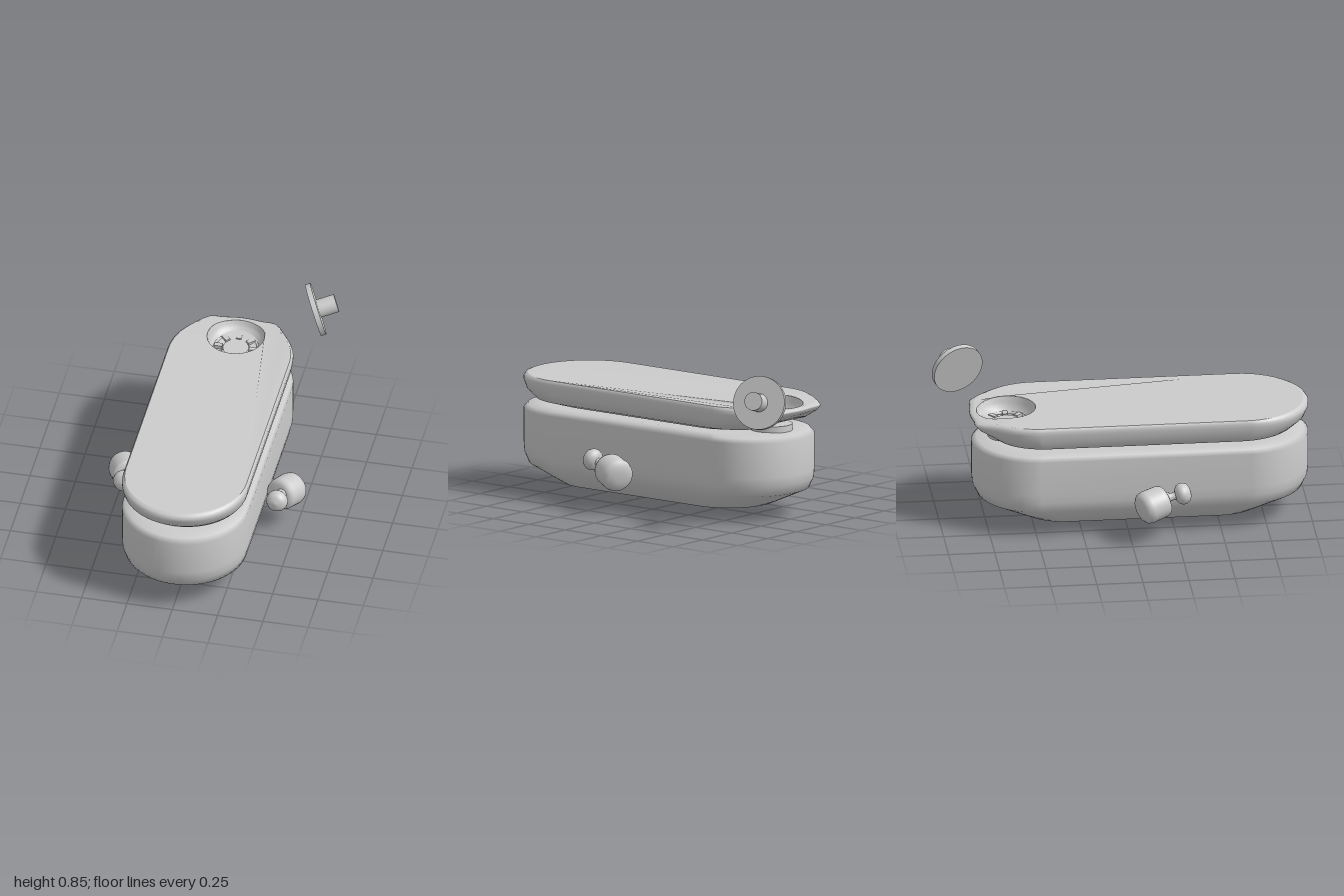
import * as THREE from 'three';

const material = new THREE.MeshStandardMaterial({ color: 0xcccccc, side: THREE.DoubleSide });
const R = 0.342, HALF = 0.57, CZ = 0.09, ARC = 28;
const HOLE_Z = -0.63, HOLE_R = 0.155;

// Stadium outline as [x, z] pairs, scaled about its centre
function outline(s) {
  const pts = [];
  for (const end of [1, -1]) {
    for (let i = 0; i <= ARC; i++) {
      const a = (i / ARC) * Math.PI + (end < 0 ? Math.PI : 0);
      pts.push([s * R * Math.cos(a), CZ + s * (end * HALF + R * Math.sin(a))]);
    }
  }
  return pts;
}

// Skin through stacked outlines, each ring given as [scale, y]
function loft(rings) {
  const pos = [], idx = [], n = 2 * (ARC + 1);
  rings.forEach(([s, y]) => outline(s).forEach(([x, z]) => pos.push(x, y, z)));
  for (let i = 0; i < rings.length - 1; i++) {
    for (let j = 0; j < n; j++) {
      const k = (j + 1) % n;
      const a = i * n + j, b = i * n + k, c = a + n, d = b + n;
      idx.push(a, c, b, b, c, d);
    }
  }
  const g = new THREE.BufferGeometry();
  g.setAttribute('position', new THREE.Float32BufferAttribute(pos, 3));
  g.setIndex(idx);
  g.computeVertexNormals();
  return g;
}

// Reshape the rear of the lid: squared corners, raised underside, dipped rim
function shapeRear(g) {
  const p = g.attributes.position, ss = THREE.MathUtils.smoothstep;
  for (let i = 0; i < p.count; i++) {
    const x = Math.abs(p.getX(i)), y = p.getY(i), z = p.getZ(i);
    const t = ss(-z, 0.62, 0.79);
    const middle = 1 - ss(x, 0.17, 0.28);
    const low = (0.643 - y) / 0.148;
    const corner = Math.exp(-(((x - 0.19) / 0.06) ** 2));
    p.setY(i, y + t * middle * (0.06 * low - 0.018 * (1 - low)));
    p.setZ(i, z - t * (0.035 * corner + 0.01 * middle));
  }
  g.computeVertexNormals();
  return g;
}

function add(parent, name, geometry, position, axis) {
  const m = new THREE.Mesh(geometry, material);
  m.name = name;
  if (position) m.position.set(...position);
  if (axis) {
    m.quaternion.setFromUnitVectors(new THREE.Vector3(0, 1, 0), new THREE.Vector3(...axis).normalize());
  }
  parent.add(m);
  return m;
}

const lathe = (pts, seg = 40) =>
  new THREE.LatheGeometry(pts.map(([r, y]) => new THREE.Vector2(r, y)), seg);

export function createModel() {
  const model = new THREE.Group();
  model.name = 'model';

  // Deep lower hull with a shallow pointed keel
  add(model, 'hull', loft([
    [0, 0.005], [0.73, 0.062], [0.965, 0.155], [0.995, 0.21], [1, 0.26],
    [1, 0.45], [0.97, 0.474], [0.87, 0.486], [0, 0.487],
  ]));

  // Lid: rounded rim and underside
  const lid = new THREE.Group();
  lid.name = 'lid';
  model.add(lid);
  add(lid, 'lidRim', shapeRear(loft([
    [0, 0.495], [0.75, 0.496], [0.92, 0.517], [0.98, 0.562], [1, 0.605],
    [1, 0.624], [0.988, 0.637], [0.97, 0.643],
  ])));

  // Flat deck with a round opening
  const deck = new THREE.Shape(outline(0.97).map(([x, z]) => new THREE.Vector2(x, -z)));
  const hole = new THREE.Path();
  hole.absarc(0, -HOLE_Z, HOLE_R, 0, Math.PI * 2, true);
  deck.holes.push(hole);
  const deckGeo = new THREE.ShapeGeometry(deck, 40);
  deckGeo.rotateX(-Math.PI / 2).translate(0, 0.643, 0);
  add(lid, 'deck', shapeRear(deckGeo));

  // Recessed well, with its stepped floor
  const well = lathe([[0, 0.55], [0.122, 0.55], [0.124, 0.57], [0.138, 0.575], [0.147, 0.61], [HOLE_R, 0.643]]);
  add(lid, 'well', shapeRear(well.translate(0, 0, HOLE_Z)));

  // Impeller: hub and eight blades inside a ring
  const impeller = new THREE.Group();
  impeller.name = 'impeller';
  impeller.position.set(0, 0.558, HOLE_Z);
  lid.add(impeller);
  add(impeller, 'hub', new THREE.CylinderGeometry(0.07, 0.08, 0.016, 32));
  add(impeller, 'ring', new THREE.TorusGeometry(0.122, 0.008, 8, 48).rotateX(Math.PI / 2));
  for (let i = 0; i < 8; i++) {
    const blade = add(impeller, 'blade', new THREE.BoxGeometry(0.045, 0.02, 0.028).translate(0.096, 0.004, 0));
    blade.rotation.y = (i * Math.PI) / 4;
  }

  // Mount between hull and lid
  add(model, 'mount', new THREE.CylinderGeometry(0.115, 0.115, 0.035, 40), [0, 0.5, -0.62]);

  // Mirrored side pods: canister, neck and domed knob
  for (const s of [1, -1]) {
    const pod = new THREE.Group();
    pod.name = s > 0 ? 'leftPod' : 'rightPod';
    model.add(pod);
    add(pod, 'canister', lathe([
      [0, -0.08], [0.06, -0.078], [0.082, -0.068], [0.088, -0.05], [0.09, 0.035],
      [0.084, 0.06], [0.065, 0.076], [0.03, 0.082], [0, 0.082],
    ]), [s * 0.443, 0.221, 0.115], [s * 0.42, -0.18, -0.89]);
    const dir = [s * -0.05, 0.2, 0.97];
    add(pod, 'neck', lathe([[0.032, -0.06], [0.03, -0.005], [0.021, 0], [0.021, 0.025], [0.03, 0.045]], 24),
      [s * 0.428, 0.256, 0.21], dir);
    add(pod, 'knob', lathe([
      [0, -0.042], [0.03, -0.04], [0.05, -0.026], [0.059, -0.008], [0.058, 0.01],
      [0.048, 0.03], [0.03, 0.042], [0, 0.048],
    ]), [s * 0.422, 0.271, 0.277], dir);
  }

  // Detached plug: disc with a short stem
  const plug = new THREE.Group();
  plug.name = 'plug';
  plug.position.set(0.392, 0.716, -0.857);
  plug.quaternion.setFromUnitVectors(new THREE.Vector3(0, 1, 0), new THREE.Vector3(0.9, 0.26, -0.35).normalize());
  model.add(plug);
  add(plug, 'plugDisc', new THREE.CylinderGeometry(0.145, 0.145, 0.03, 56));
  add(plug, 'plugStem', new THREE.CylinderGeometry(0.05, 0.05, 0.115, 32), [0, 0.06, 0]);

  return model;
}
